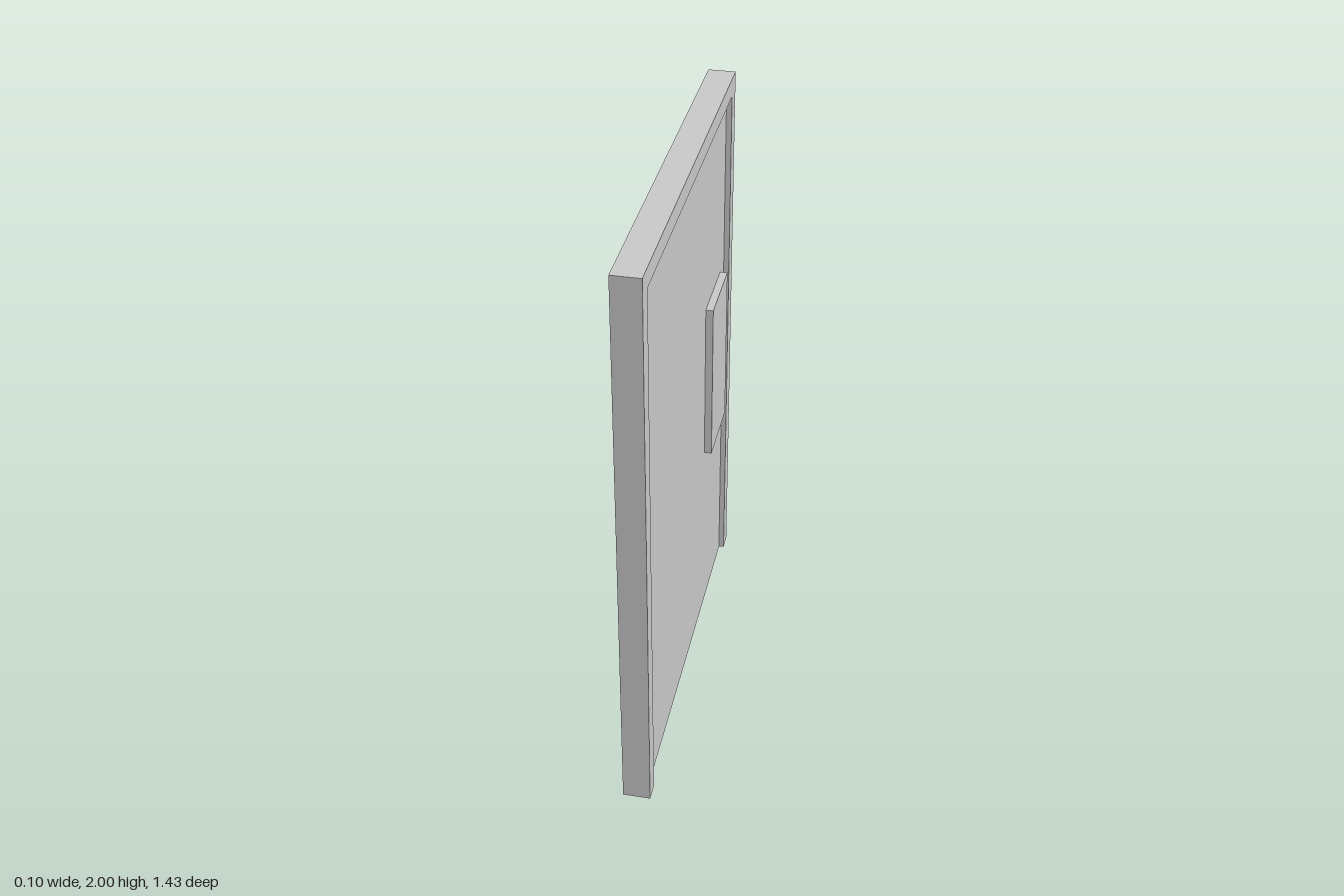
import * as THREE from 'three';

export function createModel() {
  const group = new THREE.Group();
  group.name = 'door';
  const material = new THREE.MeshStandardMaterial({ color: 0xcccccc, flatShading: true });

  // Adds a box given its low and high corners
  function addBox(name, lo, hi) {
    const size = hi.map((v, i) => v - lo[i]);
    const mesh = new THREE.Mesh(new THREE.BoxGeometry(...size), material);
    mesh.position.set(...hi.map((v, i) => (v + lo[i]) / 2));
    mesh.name = name;
    group.add(mesh);
  }

  // Frame: one outline of two posts and a lintel, open at the floor
  const outer = 0.716, inner = 0.655, base = 0.004, lintel = 1.937;
  const outline = new THREE.Shape([
    [-outer, base], [-inner, base], [-inner, lintel], [inner, lintel],
    [inner, base], [outer, base], [outer, 2], [-outer, 2],
  ].map(([z, y]) => new THREE.Vector2(z, y)));
  const frameGeometry = new THREE.ExtrudeGeometry(outline, { depth: 0.093, bevelEnabled: false });
  frameGeometry.rotateY(Math.PI / 2);
  frameGeometry.translate(-0.05, 0, 0);
  const frame = new THREE.Mesh(frameGeometry, material);
  frame.name = 'doorFrame';
  group.add(frame);

  // Door leaf, its edges let into the frame
  addBox('doorLeaf', [-0.024, 0, -0.685], [0.024, 1.965, 0.685]);

  // Raised plate on one face of the leaf
  addBox('raisedPlate', [0.02, 0.705, -0.585], [0.05, 1.302, -0.315]);

  return group;
}
